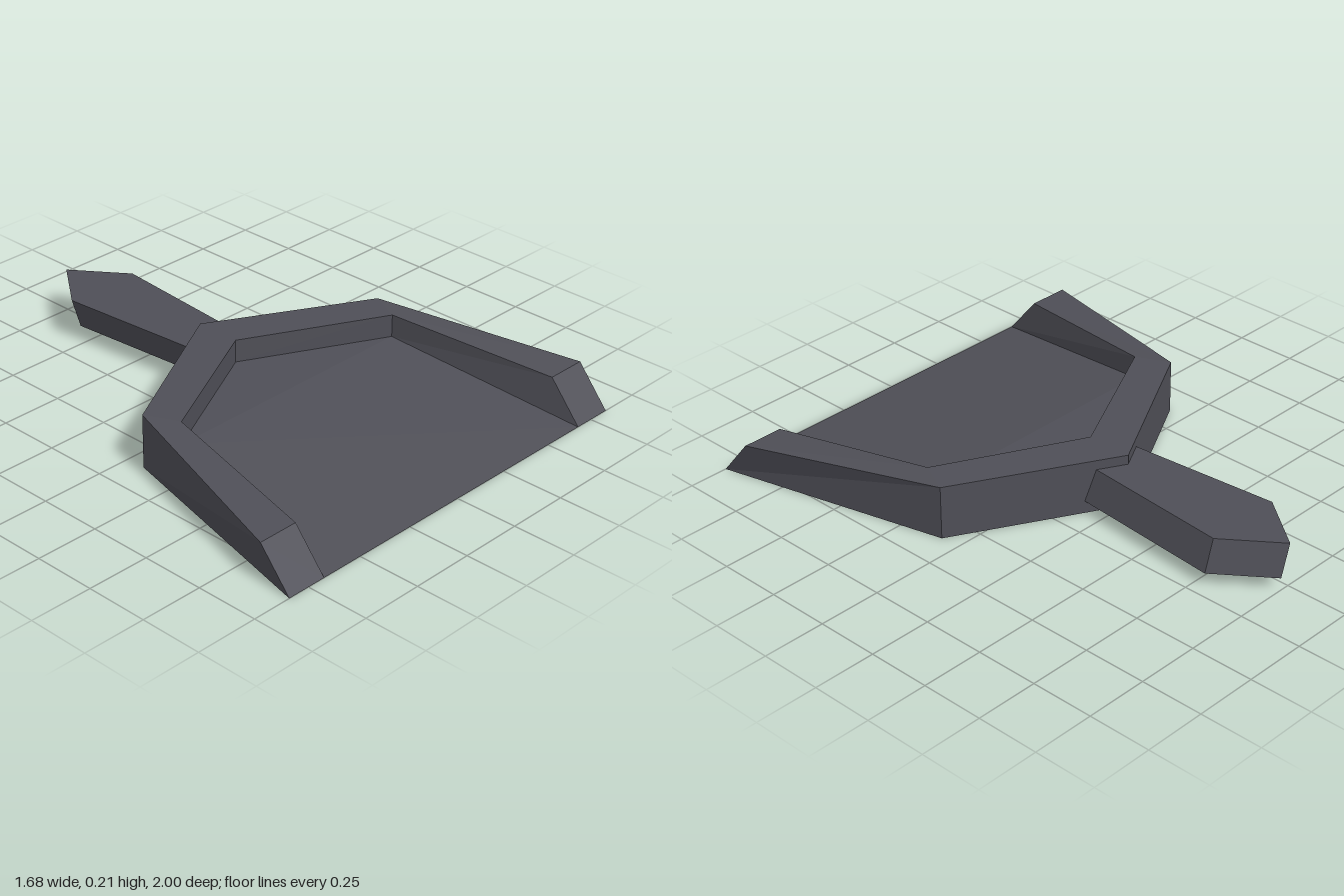
import * as THREE from 'three';

const plastic = new THREE.MeshStandardMaterial({ color: 0x4f4f57, flatShading: true });
plastic.name = 'dark grey plastic';

// Pan: one rim cross-section swept from the +x mouth corner round the back to the -x one
function panGeometry() {
  // each station: outer bottom, outer top, inner top, inner bottom
  const mouth = [[0.84, 0, 1], [0.84, 0.155, 0.87], [0.675, 0.155, 0.87], [0.675, 0, 1]];
  const corner = [[0.613, 0, 0.08], [0.613, 0.213, 0.08], [0.55, 0.213, 0.21], [0.55, 0.122, 0.21]];
  const back = [[0, 0, -0.255], [0, 0.213, -0.255], [0, 0.213, -0.07], [0, 0.122, -0.07]];
  const mirror = (station) => station.map(([x, y, z]) => [-x, y, z]);
  const rim = [mouth, corner, back, mirror(corner), mirror(mouth)];

  const positions = [];
  const face = (...pts) => {
    for (let i = 1; i < pts.length - 1; i++) positions.push(...pts[0], ...pts[i], ...pts[i + 1]);
  };

  // outer wall, rim top and inner wall
  for (let k = 0; k < 4; k++) {
    for (let j = 0; j < 3; j++) {
      face(rim[k][j], rim[k + 1][j], rim[k + 1][j + 1], rim[k][j + 1]);
    }
  }
  // slanted front ends of the side walls
  face(...rim[0]);
  face(...[...rim[4]].reverse());
  // sloping floor, then its level back triangle
  face(rim[0][3], rim[1][3], rim[3][3], rim[4][3]);
  face(rim[1][3], rim[2][3], rim[3][3]);
  // flat underside
  face(...rim.map((station) => station[0]).reverse());

  const geometry = new THREE.BufferGeometry();
  geometry.setAttribute('position', new THREE.Float32BufferAttribute(positions, 3));
  geometry.computeVertexNormals();
  return geometry;
}

// Handle: pointed outline extruded upwards, with the underside leaning towards +x
function handleGeometry() {
  const bottom = 0.05, height = 0.125, lean = 0.04;
  const outline = new THREE.Shape([
    [-0.105, 0.13], [0.1, 0.13], [0.157, 0.79], [0, 1], [-0.16, 0.79],
  ].map(([x, y]) => new THREE.Vector2(x, y)));
  const geometry = new THREE.ExtrudeGeometry(outline, { depth: height, bevelEnabled: false });
  geometry.rotateX(-Math.PI / 2);
  const p = geometry.attributes.position;
  for (let i = 0; i < p.count; i++) {
    p.setX(i, p.getX(i) + lean * (1 - p.getY(i) / height));
  }
  geometry.translate(0, bottom, 0);
  geometry.computeVertexNormals();
  return geometry;
}

export function createModel() {
  const model = new THREE.Group();
  model.name = 'dustpan';
  const add = (name, geometry) => {
    const mesh = new THREE.Mesh(geometry, plastic);
    mesh.name = name;
    model.add(mesh);
  };
  add('pan', panGeometry());
  add('handle', handleGeometry());
  return model;
}
